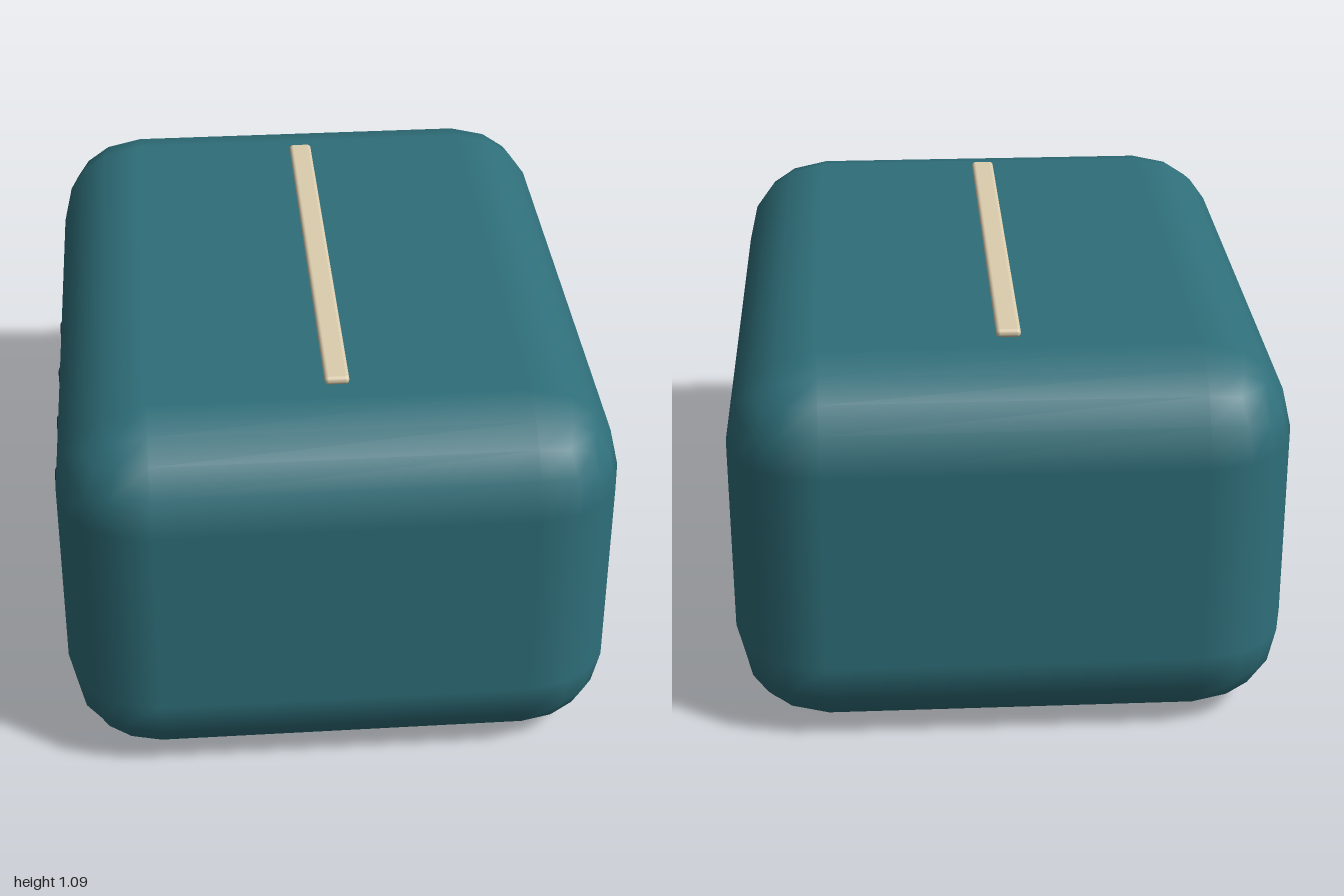
import * as THREE from 'three';
import { RoundedBoxGeometry } from 'three/addons/geometries/RoundedBoxGeometry.js';

const material = (name, color) => {
  const m = new THREE.MeshStandardMaterial({ color });
  m.name = name;
  return m;
};

export function createModel() {
  const teal = material('teal', 0x2f6f7a);
  const cream = material('cream', 0xdccdae);
  const charcoal = material('charcoal', 0x2f3a40);
  const group = new THREE.Group();
  group.name = 'roundedCase';

  // Softly rounded block, fitted to its exact outer size
  const addBlock = (name, mat, size, radius, position) => {
    const geometry = new RoundedBoxGeometry(...size, 2, radius);
    geometry.computeBoundingBox();
    const real = geometry.boundingBox.getSize(new THREE.Vector3());
    geometry.scale(size[0] / real.x, size[1] / real.y, size[2] / real.z);
    const mesh = new THREE.Mesh(geometry, mat);
    mesh.name = name;
    mesh.position.set(...position);
    group.add(mesh);
  };

  // Main body
  addBlock('body', teal, [1.506, 1.064, 2], 0.25, [0, 0.533, 0]);

  // Long strip on the top
  addBlock('topStrip', cream, [0.066, 0.024, 1.38], 0.011, [0, 1.076, 0]);

  // Four upright ribs on each side
  for (const side of [-1, 1]) {
    for (let i = 0; i < 4; i++) {
      addBlock(side > 0 ? 'leftRib' : 'rightRib', charcoal,
        [0.04, 0.245, 0.048], 0.015, [side * 0.753, 0.535, -0.373 + i * 0.266]);
    }
  }
  return group;
}
